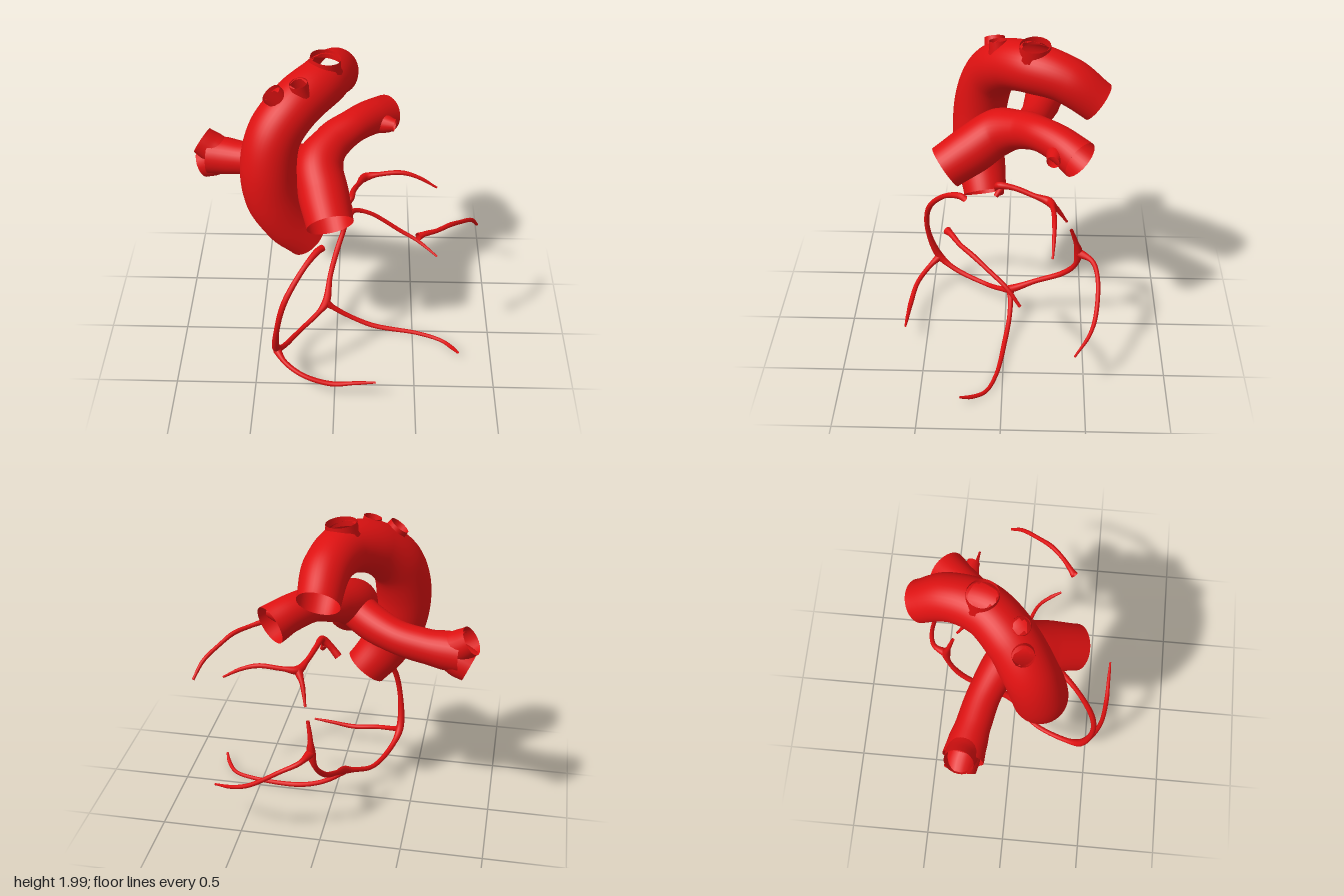
import * as THREE from 'three';

const vesselRed = new THREE.MeshStandardMaterial({ color: 0xdd1111, side: THREE.DoubleSide });
vesselRed.name = 'vesselRed';

// Open tube through [x, y, z, radius] stations; holes are [x, y, z, radius] balls cut from its wall
function vessel(name, stations, sides = 12, holes = []) {
  const curve = new THREE.CatmullRomCurve3(stations.map(s => new THREE.Vector3(s[0], s[1], s[2])));
  const last = stations.length - 1;
  const rings = last * 12;
  const geo = new THREE.TubeGeometry(curve, rings, 1, sides, false);
  const pos = geo.attributes.position, nor = geo.attributes.normal;
  const n = new THREE.Vector3();
  for (let i = 0; i <= rings; i++) {
    const u = i / rings;
    const centre = curve.getPointAt(u);
    const f = curve.getUtoTmapping(u) * last;
    const k = Math.min(Math.floor(f), last - 1);
    const r = THREE.MathUtils.lerp(stations[k][3], stations[k + 1][3], THREE.MathUtils.smoothstep(f - k, 0, 1));
    for (let j = 0; j <= sides; j++) {
      const v = i * (sides + 1) + j;
      n.fromBufferAttribute(nor, v).multiplyScalar(r).add(centre);
      pos.setXYZ(v, n.x, n.y, n.z);
    }
  }
  if (holes.length) {
    const inHole = v => holes.some(h =>
      Math.hypot(pos.getX(v) - h[0], pos.getY(v) - h[1], pos.getZ(v) - h[2]) < h[3]);
    const old = geo.index.array, kept = [];
    for (let i = 0; i < old.length; i += 3) {
      if (!(inHole(old[i]) && inHole(old[i + 1]) && inHole(old[i + 2]))) kept.push(old[i], old[i + 1], old[i + 2]);
    }
    geo.setIndex(kept);
  }
  const mesh = new THREE.Mesh(geo, vesselRed);
  mesh.name = name;
  return mesh;
}

// Short flared collar ending at a mouth, running back along its direction
function collar(name, mouth, dir, r, length) {
  const d = new THREE.Vector3(...dir).normalize();
  const at = (back, rad) => [0, 1, 2].map(i => mouth[i] - d.getComponent(i) * back).concat(rad);
  return vessel(name, [at(length, r * 1.3), at(length * 0.5, r * 1.04), at(0, r)], 24);
}

export function createModel() {
  const model = new THREE.Group();
  model.name = 'heartArteries';

  // Aorta with three cut arch branches
  const aorta = new THREE.Group();
  aorta.name = 'aorta';
  aorta.add(vessel('aorticArch', [
    [-0.18, 0.91, 0.13, 0.135], [-0.295, 1.06, 0.16, 0.15], [-0.375, 1.25, 0.175, 0.165],
    [-0.395, 1.45, 0.16, 0.165], [-0.355, 1.64, 0.105, 0.16], [-0.235, 1.775, 0.0, 0.155],
    [-0.095, 1.825, -0.16, 0.15], [-0.025, 1.785, -0.36, 0.138], [-0.01, 1.655, -0.54, 0.125],
  ], 40, [[-0.36, 1.85, 0.075, 0.065], [-0.215, 1.92, 0.045, 0.055], [-0.07, 1.97, -0.17, 0.09]]));
  aorta.add(
    collar('firstArchBranch', [-0.37, 1.89, 0.075], [-0.6, 0.8, 0.1], 0.062, 0.1),
    collar('secondArchBranch', [-0.217, 1.943, 0.05], [-0.2, 0.97, 0.1], 0.053, 0.08),
    collar('thirdArchBranch', [-0.07, 1.985, -0.17], [0.12, 1, 0], 0.09, 0.07),
  );

  // Pulmonary trunk and its two main branches
  const pulmonary = new THREE.Group();
  pulmonary.name = 'pulmonaryArtery';
  pulmonary.add(
    vessel('trunkAndLeftBranch', [
      [-0.03, 1.18, 0.365, 0.14], [-0.075, 1.285, 0.2, 0.15], [-0.105, 1.385, 0.05, 0.145],
      [-0.03, 1.45, -0.1, 0.115], [0.09, 1.485, -0.22, 0.103], [0.2, 1.475, -0.34, 0.108],
      [0.29, 1.44, -0.435, 0.118],
    ], 36),
    vessel('leftSideBranch', [[0.2, 1.46, -0.32, 0.085], [0.27, 1.46, -0.3, 0.06], [0.345, 1.455, -0.28, 0.038]], 18),
    vessel('rightBranch', [
      [-0.1, 1.385, 0.03, 0.115], [-0.22, 1.33, -0.06, 0.11], [-0.4, 1.28, -0.145, 0.1],
      [-0.58, 1.26, -0.19, 0.103], [-0.7, 1.258, -0.215, 0.115], [-0.79, 1.26, -0.23, 0.122],
    ], 32),
    vessel('rightUpperMouth', [[-0.7, 1.27, -0.215, 0.09], [-0.78, 1.31, -0.235, 0.095], [-0.838, 1.35, -0.245, 0.088]], 24),
    vessel('rightLowerMouth', [[-0.7, 1.245, -0.215, 0.09], [-0.78, 1.21, -0.235, 0.1], [-0.838, 1.185, -0.245, 0.095]], 24),
  );

  // Right coronary artery, running round the heart base and up the back
  const rightCoronary = new THREE.Group();
  rightCoronary.name = 'rightCoronary';
  rightCoronary.add(
    vessel('rightMain', [
      [-0.08, 0.92, 0.255, 0.022], [-0.11, 0.92, 0.29, 0.021], [-0.19, 0.865, 0.39, 0.016],
      [-0.3, 0.7, 0.505, 0.018], [-0.35, 0.5, 0.525, 0.017], [-0.365, 0.27, 0.455, 0.025],
      [-0.33, 0.19, 0.355, 0.017], [-0.23, 0.145, 0.15, 0.015], [-0.13, 0.18, 0.04, 0.016],
      [-0.075, 0.22, -0.03, 0.026], [-0.05, 0.31, -0.2, 0.017], [-0.005, 0.41, -0.37, 0.018],
      [0.035, 0.51, -0.445, 0.016], [0.057, 0.62, -0.46, 0.028], [0.065, 0.71, -0.44, 0.015],
      [0.085, 0.81, -0.41, 0.011],
    ]),
    vessel('marginalBranch', [
      [-0.365, 0.26, 0.455, 0.025], [-0.31, 0.215, 0.52, 0.016], [-0.19, 0.17, 0.59, 0.015],
      [-0.02, 0.135, 0.62, 0.016], [0.13, 0.15, 0.625, 0.012], [0.255, 0.162, 0.628, 0.007],
    ]),
    vessel('lowerBranch', [
      [-0.075, 0.22, -0.03, 0.026], [-0.02, 0.17, -0.035, 0.017], [0.08, 0.105, -0.03, 0.015],
      [0.245, 0.045, -0.005, 0.016], [0.54, 0.025, 0.04, 0.013], [0.69, 0.02, 0.1, 0.012],
      [0.755, 0.035, 0.18, 0.013], [0.788, 0.06, 0.25, 0.008],
    ]),
    vessel('backBranch', [
      [0.057, 0.62, -0.46, 0.028], [0.11, 0.595, -0.545, 0.016], [0.215, 0.545, -0.578, 0.014],
      [0.42, 0.41, -0.565, 0.014], [0.54, 0.355, -0.525, 0.012], [0.67, 0.295, -0.435, 0.007],
    ]),
  );

  // Left coronary artery and its detached front piece
  const leftCoronary = new THREE.Group();
  leftCoronary.name = 'leftCoronary';
  leftCoronary.add(
    vessel('leftMain', [
      [-0.02, 1.015, 0.03, 0.024], [0.03, 1.07, 0.045, 0.022], [0.08, 1.125, 0.035, 0.022],
      [0.1, 1.12, -0.06, 0.017], [0.13, 1.09, -0.17, 0.016], [0.17, 1.07, -0.27, 0.027],
      [0.26, 1.08, -0.29, 0.015], [0.4, 1.09, -0.297, 0.015], [0.51, 1.055, -0.295, 0.012],
      [0.625, 0.985, -0.288, 0.007],
    ]),
    vessel('leftDescendingBranch', [
      [0.17, 1.07, -0.27, 0.027], [0.135, 1.0, -0.315, 0.015], [0.105, 0.885, -0.38, 0.008],
    ]),
    vessel('leftKnob', [[0.06, 1.1, 0.02, 0.022], [0.075, 1.07, 0.04, 0.018], [0.085, 1.05, 0.055, 0.015]]),
    vessel('frontPiece', [
      [0.485, 1.07, 0.32, 0.024], [0.52, 1.07, 0.295, 0.017], [0.6, 1.055, 0.24, 0.014],
      [0.68, 1.04, 0.165, 0.015], [0.745, 1.0, 0.085, 0.013], [0.83, 0.93, -0.03, 0.013],
      [0.877, 0.835, -0.108, 0.009],
    ]),
  );

  model.add(aorta, pulmonary, rightCoronary, leftCoronary);
  return model;
}
